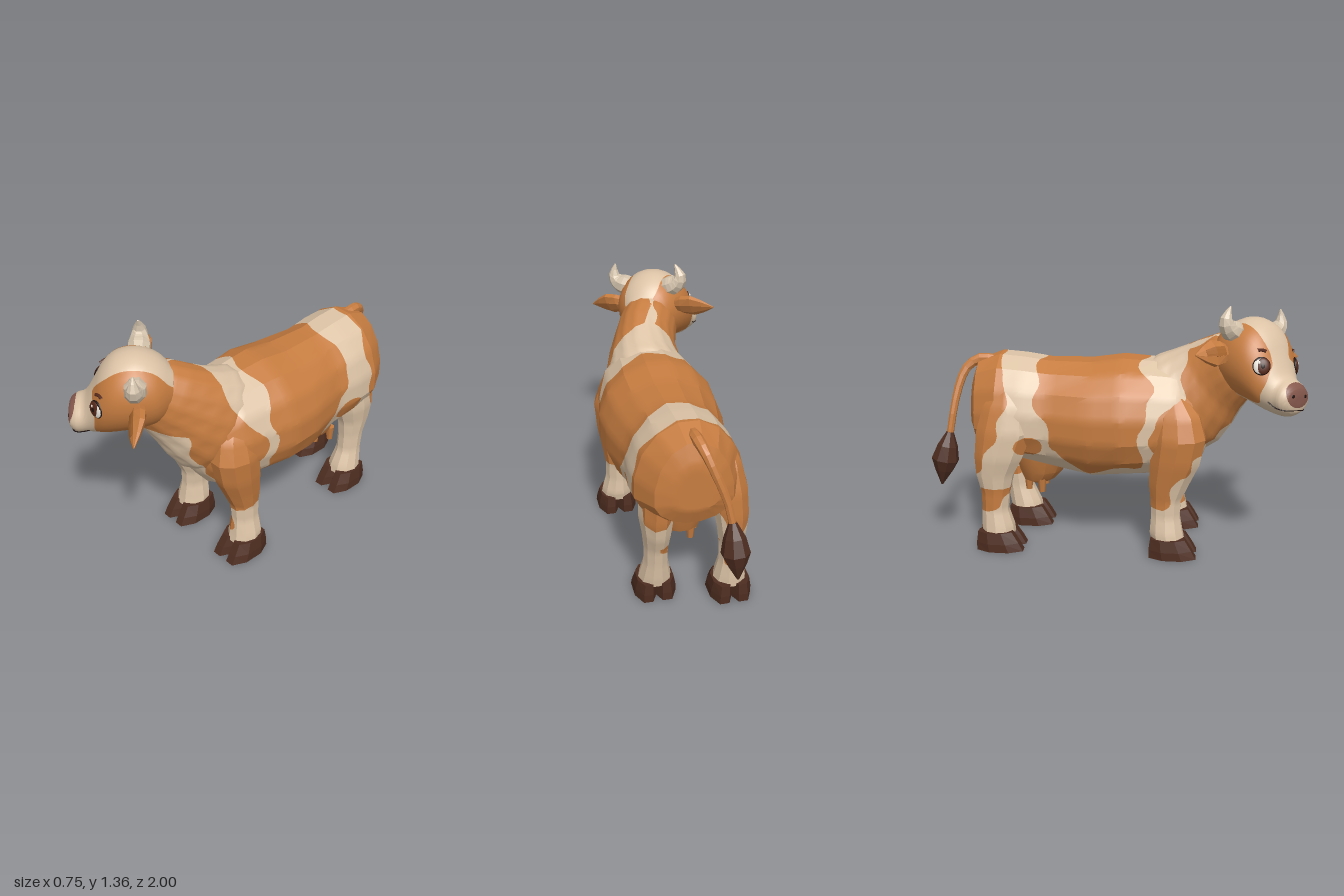
import * as THREE from 'three';
import { toCreasedNormals } from 'three/addons/utils/BufferGeometryUtils.js';

const V = (x, y, z) => new THREE.Vector3(x, y, z);
const X = V(1, 0, 0), Y = V(0, 1, 0), Z = V(0, 0, 1);
const mat = (name, color) => Object.assign(new THREE.MeshStandardMaterial({ color }), { name });

// Smoothly adds sections between the given ones
function refine(secs, steps) {
  const out = [], last = secs.length - 1;
  for (let i = 0; i < last; i++) for (let s = 0; s < steps; s++) {
    const t = s / steps, p = [i - 1, i, i + 1, i + 2].map(k => secs[Math.max(0, Math.min(last, k))]);
    out.push(p[1].map((b, k) => {
      const a = p[0][k], c = p[2][k], d = p[3][k];
      return b + 0.5 * t * (c - a + t * (2 * a - 5 * b + 4 * c - d + t * (3 * (b - c) + d - a)));
    }));
  }
  return [...out, secs[last]];
}

// Triangles of a skin over sections [x, y, z, halfWidth, top, bottom]
function loft(secs, n, ref, dir) {
  const P = secs.map(s => V(s[0], s[1], s[2])), last = P.length - 1, tris = [];
  const rings = secs.map((s, i) => {
    const d = dir || P[Math.min(last, i + 1)].clone().sub(P[Math.max(0, i - 1)]).normalize();
    const right = ref.clone().cross(d).normalize(), up = d.clone().cross(right);
    return Array.from({ length: n }, (_, k) => {
      const a = (k + 0.5) / n * Math.PI * 2, sn = Math.sin(a);
      return P[i].clone().addScaledVector(right, s[3] * Math.cos(a))
        .addScaledVector(up, sn * (sn > 0 ? s[4] : s[5] ?? s[4]));
    });
  });
  for (let k = 0; k < n; k++) {
    const j = (k + 1) % n;
    for (let i = 0; i < last; i++) {
      const [a, b, c, d] = [rings[i][k], rings[i][j], rings[i + 1][k], rings[i + 1][j]];
      tris.push([a, b, c], [b, d, c]);
    }
    tris.push([P[0], rings[0][j], rings[0][k]], [P[last], rings[last][k], rings[last][j]]);
  }
  return tris;
}

// Splits a triangle in four flat ones
const split = ([a, b, c]) => {
  const m = (p, q) => p.clone().lerp(q, 0.5), ab = m(a, b), bc = m(b, c), ca = m(c, a);
  return [[a, ab, ca], [ab, b, bc], [ca, bc, c], [ab, bc, ca]];
};

// Keeps the piece of a triangle where sign * f > 0
function clip(tri, f, sign) {
  const poly = [], v = tri.map(p => sign * f(p));
  tri.forEach((p, i) => {
    const j = (i + 1) % 3;
    if (v[i] > 0) poly.push(p);
    if ((v[i] > 0) !== (v[j] > 0)) poly.push(p.clone().lerp(tri[j], v[i] / (v[i] - v[j])));
  });
  return poly.slice(2).map((p, i) => [poly[0], poly[i + 1], p]);
}

// Mesh whose faces take mats[i] where fields[i] > 0, else the last material
function skin(name, tris, mats, fields = [], depth = 0, crease = 0) {
  for (let i = 0; i < depth; i++) tris = tris.flatMap(split);
  const parts = fields.map(f => {
    const hit = tris.flatMap(t => clip(t, f, 1));
    tris = tris.flatMap(t => clip(t, f, -1));
    return hit;
  });
  parts.push(tris);
  const g = new THREE.BufferGeometry().setFromPoints(parts.flat(2));
  let start = 0;
  parts.forEach((p, i) => { g.addGroup(start, p.length * 3, i); start += p.length * 3; });
  g.computeVertexNormals();
  const mesh = new THREE.Mesh(crease ? toCreasedNormals(g, crease) : g, mats);
  mesh.name = name;
  return mesh;
}

// Coat markings: positive values are cream
const band = (v, a, b) => Math.min(v - a, b - v);
const wobble = p => 0.017 * (Math.sin(19 * p.x + 9 * p.y) + Math.sin(17 * p.z - 14 * p.y + 1) + Math.sin(31 * p.y + 8 * p.x + 11 * p.z));
const bodyCream = p => {
  const n = wobble(p), { x, y, z } = p;
  const thighSpot = Math.hypot((z + 0.44) / 1.3, y - 0.6) - 0.06 + 0.5 * n;
  const low = Math.max(0, 0.65 - y);
  return Math.max(
    Math.min(band(z + n, -0.58 - 0.6 * low, -0.4 + 0.6 * Math.max(0, 0.8 - y)), thighSpot),
    band(z + n, 0.18, 0.25 + 0.13 * THREE.MathUtils.smoothstep(y, 0.75, 0.88)),
    Math.min(0.435 - y + n, z + 0.5),
    Math.min(z - 0.38, 0.1 + 0.25 * Math.max(0, 0.62 - y) - Math.abs(x - 0.03 - 0.25 * Math.max(0, y - 0.55)) + n, 0.87 - y + n),
    Math.min(0.042 - Math.abs(x - 0.15 + 0.3 * z) + n, y - 0.85 - 0.4 * z, z - 0.2));
};
const headCream = p => Math.max(
  0.07 + 0.32 * Math.max(0, p.y - 0.06) - Math.abs(p.x + 0.02) + 0.5 * wobble(p),
  p.z - 0.19 + 0.5 * wobble(p));
const noseField = p => Math.min(p.z - 0.28, 0.07 * (1 - Math.hypot(p.x / 0.088, (p.y + 0.125) / 0.062)));

export function createModel() {
  const cow = new THREE.Group();
  cow.name = 'cow';
  const orange = mat('orange coat', 0xc67c40), cream = mat('cream coat', 0xdcc3a6), hoofM = mat('dark hoof', 0x4e2d20),
    horn = mat('horn', 0xd6c5ae), pink = mat('nose', 0x87594d), white = mat('eye white', 0xf1ebe2),
    brown = mat('iris', 0x55281a), dark = mat('dark line', 0x20130f), inner = mat('inner ear', 0xa8662f);
  const coat = [cream, orange];

  // Barrel: z, top, bottom, half width
  const barrel = [[-0.78, 0.9, 0.64, 0.11], [-0.745, 1.0, 0.55, 0.2], [-0.62, 1.05, 0.48, 0.275], [-0.49, 1.04, 0.45, 0.282],
    [-0.35, 1.02, 0.41, 0.272], [-0.12, 1.02, 0.365, 0.32], [0.05, 1.045, 0.38, 0.332], [0.2, 1.035, 0.39, 0.302],
    [0.34, 1.02, 0.4, 0.285], [0.43, 0.96, 0.43, 0.245], [0.485, 0.88, 0.51, 0.18], [0.515, 0.8, 0.59, 0.1]]
    .map(([z, t, b, w]) => [0.06, 0.69, z, w, t - 0.69, 0.69 - b]);
  cow.add(skin('body', loft(barrel, 16, Y, Z), coat, [bodyCream], 2, 0.4));

  // Neck, bending towards the turned head
  const neck = [[0.06, 0.74, 0.27, 0.23, 0.28], [0.06, 0.82, 0.4, 0.22, 0.285], [0.03, 0.94, 0.53, 0.175, 0.225],
    [-0.02, 1.02, 0.63, 0.16, 0.19], [-0.06, 1.06, 0.72, 0.13, 0.15]];
  cow.add(skin('neck', loft(refine(neck, 2), 16, Y), coat, [bodyCream], 2, 0.6));

  // Legs: y, z, half depth, half width, shift inwards
  const front = [[0.085, 0.31, 0.092, 0.09], [0.13, 0.3, 0.092, 0.085], [0.22, 0.295, 0.08, 0.066, 0.005], [0.31, 0.295, 0.084, 0.07, 0.01],
    [0.4, 0.31, 0.11, 0.084, 0.01], [0.52, 0.34, 0.137, 0.1, 0.005], [0.66, 0.36, 0.145, 0.11, 0.005], [0.78, 0.35, 0.12, 0.085, 0.02],
    [0.87, 0.33, 0.06, 0.04, 0.04]];
  const hind = [[0.085, -0.53, 0.092, 0.09], [0.13, -0.54, 0.09, 0.082], [0.22, -0.565, 0.074, 0.064], [0.32, -0.575, 0.08, 0.064],
    [0.42, -0.59, 0.105, 0.075], [0.52, -0.58, 0.135, 0.09], [0.66, -0.565, 0.16, 0.095, 0.01],
    [0.8, -0.56, 0.13, 0.07, 0.02], [0.88, -0.56, 0.07, 0.04, 0.03]];
  const addLeg = (name, rows, s, cx, shift, height) => {
    const at = (y, z) => z + shift * Math.max(0, 1 - y / 0.7);
    const secs = rows.map(([y, z, rz, rx, inwards = 0]) => [cx - s * inwards, y, at(y, z), rz, rx]);
    const field = p => Math.max(height(p) - p.y + 2.6 * wobble(p), rows === hind ? Math.min(bodyCream(p), p.y - 0.35) : -1);
    cow.add(skin(name, loft(secs, 10, X, Y), coat, [field], 2, 0.4));
    // Cloven hoof
    for (const t of [-1, 1]) {
      const z = at(0, rows[0][1]);
      cow.add(skin(name + 'Hoof', loft([[cx + t * 0.05, 0, z + 0.027, 0.137, 0.064], [cx + t * 0.049, 0.045, z + 0.015, 0.124, 0.062],
        [cx + t * 0.045, 0.105, z, 0.1, 0.054]], 8, X, Y), [hoofM]));
    }
  };
  addLeg('leftFrontLeg', front, 1, 0.258, 0, () => 0.24);
  addLeg('rightFrontLeg', front, -1, -0.171, 0, p => 0.27 + 2 * THREE.MathUtils.clamp(p.z - 0.28, 0, 0.1));
  addLeg('leftHindLeg', hind, 1, 0.215, 0, () => 0.38);
  addLeg('rightHindLeg', hind, -1, -0.165, -0.1, () => 0.32);

  // Udder and teats
  const udder = [[0.05, 0.315, -0.43, 0.05, 0.06], [0.05, 0.335, -0.425, 0.09, 0.1], [0.05, 0.39, -0.41, 0.125, 0.13], [0.05, 0.48, -0.4, 0.16, 0.15]];
  cow.add(skin('udder', loft(udder, 12, X, Y), [orange], [], 0, 0.6));
  for (const x of [-0.03, 0.1]) for (const z of [-0.4, -0.48]) {
    const teat = new THREE.Mesh(new THREE.CylinderGeometry(0.026, 0.017, 0.085, 7), orange);
    teat.name = 'teat';
    teat.position.set(x + (z < -0.45 ? 0.04 : 0), 0.315, z);
    cow.add(teat);
  }

  // Tail and tuft
  const tail = [[0.05, 1.0, -0.66, 0.03, 0.03], [0.045, 1.005, -0.74, 0.03, 0.03], [0.02, 0.96, -0.81, 0.026, 0.026],
    [-0.02, 0.86, -0.85, 0.023, 0.023], [-0.07, 0.72, -0.875, 0.02, 0.02], [-0.095, 0.58, -0.895, 0.02, 0.02]];
  cow.add(skin('tail', loft(refine(tail, 2), 8, X), [orange]));
  const tuft = [[-0.09, 0.625, -0.89, 0.02, 0.02], [-0.097, 0.55, -0.905, 0.055, 0.055], [-0.1, 0.47, -0.922, 0.075, 0.073],
    [-0.105, 0.41, -0.93, 0.05, 0.05], [-0.11, 0.325, -0.945, 0.005, 0.005]];
  cow.add(skin('tailTuft', loft(tuft, 8, X), [hoofM]));

  // Head, turned to its right and tilted
  const head = new THREE.Group();
  head.name = 'head';
  head.position.set(-0.07, 1.07, 0.73);
  head.rotation.set(0, -0.73, -0.17, 'YXZ');
  cow.add(head);
  const skull = [[-0.2, 0.09, 0.1, -0.1], [-0.13, 0.165, 0.175, -0.16], [-0.03, 0.195, 0.219, -0.195], [0.07, 0.195, 0.202, -0.215],
    [0.14, 0.172, 0.14, -0.232], [0.19, 0.135, 0.05, -0.242], [0.24, 0.11, -0.035, -0.245], [0.285, 0.11, -0.06, -0.24],
    [0.318, 0.086, -0.085, -0.215], [0.328, 0.04, -0.12, -0.18]]
    .map(([z, w, t, b]) => [0, (t + b) / 2, z, w, (t - b) / 2]);
  head.add(skin('skull', loft(refine(skull, 3), 24, Y, Z), [pink, cream, orange], [noseField, headCream], 1, 0.5));

  const ball = (parent, name, m, pos, scale) => {
    const b = new THREE.Mesh(new THREE.SphereGeometry(1, 18, 12), m);
    b.name = name;
    b.position.set(...pos);
    b.scale.set(...scale);
    parent.add(b);
  };
  for (const s of [-1, 1]) {
    const side = s > 0 ? 'left' : 'right';
    // Horn
    const hornSecs = [[0.1, 0.125, -0.03, 0.05, 0.05], [0.155, 0.137, -0.03, 0.058, 0.058], [0.2, 0.157, -0.03, 0.048, 0.048],
      [0.222, 0.2, -0.03, 0.032, 0.032], [0.2, 0.262, -0.03, 0.004, 0.004]].map(([x, ...r]) => [s * x, ...r]);
    head.add(skin(side + 'Horn', loft(refine(hornSecs, 2), 8, Z), [horn]));
    // Ear with a darker hollow, its face tipped upwards
    const ear = new THREE.Group();
    ear.name = side + 'Ear';
    ear.position.set(s * 0.155, 0.03, -0.04);
    ear.rotation.set(-0.5, 0, s * -0.08);
    head.add(ear);
    const leaf = [[0, 0, 0, 0.03, 0.032], [0.06, 0, 0, 0.036, 0.062], [0.125, 0, 0, 0.032, 0.073],
      [0.19, 0, 0, 0.02, 0.045], [0.255, 0, 0, 0.003, 0.004]].map(([x, ...r]) => [s * x, ...r]);
    ear.add(skin('earShell', loft(leaf, 8, Y, V(s, 0, 0)), [orange]));
    const hollow = leaf.slice(1, 4).map(([x, y, z, w, h]) => [x, y, z + w - 0.003, 0.004, h * 0.4]);
    ear.add(skin('earHollow', loft(hollow, 8, Y, V(s, 0, 0)), [inner]));
    // Eye and brow
    const eye = new THREE.Group();
    eye.name = side + 'Eye';
    eye.position.set(s * 0.135, -0.005, 0.167);
    eye.rotation.set(-0.2, s * 0.76, 0, 'YXZ');
    head.add(eye);
    ball(eye, 'eyeRim', dark, [0, 0, 0], [0.046, 0.047, 0.014]);
    ball(eye, 'eyeWhite', white, [0, -0.001, 0.002], [0.043, 0.043, 0.014]);
    ball(eye, 'iris', brown, [-s * 0.005, 0, 0.004], [0.038, 0.042, 0.014]);
    ball(eye, 'pupil', dark, [-s * 0.005, 0, 0.007], [0.02, 0.025, 0.012]);
    ball(eye, 'eyeGlint', white, [-0.015, 0.015, 0.015], [0.007, 0.008, 0.004]);
    const brow = new THREE.Mesh(new THREE.TorusGeometry(0.05, 0.009, 6, 10, 0.9), brown);
    brow.name = 'brow';
    brow.position.set(s * 0.006, 0.032, 0.007);
    brow.rotation.set(-0.25, 0, Math.PI / 2 - 0.45);
    eye.add(brow);
    ball(head, side + 'Nostril', dark, [s * 0.046, -0.13, 0.319], [0.018, 0.013, 0.009]);
  }
  // Mouth line
  const lips = [[0.108, -0.175, 0.22], [0.096, -0.197, 0.26], [0.088, -0.202, 0.297], [0.05, -0.202, 0.318]];
  const path = [...lips.map(([x, y, z]) => V(-x, y, z)), V(0, -0.2, 0.322), ...lips.reverse().map(p => V(...p))];
  const mouth = new THREE.Mesh(new THREE.TubeGeometry(new THREE.CatmullRomCurve3(path), 32, 0.003, 5), dark);
  mouth.name = 'mouth';
  head.add(mouth);
  return cow;
}
